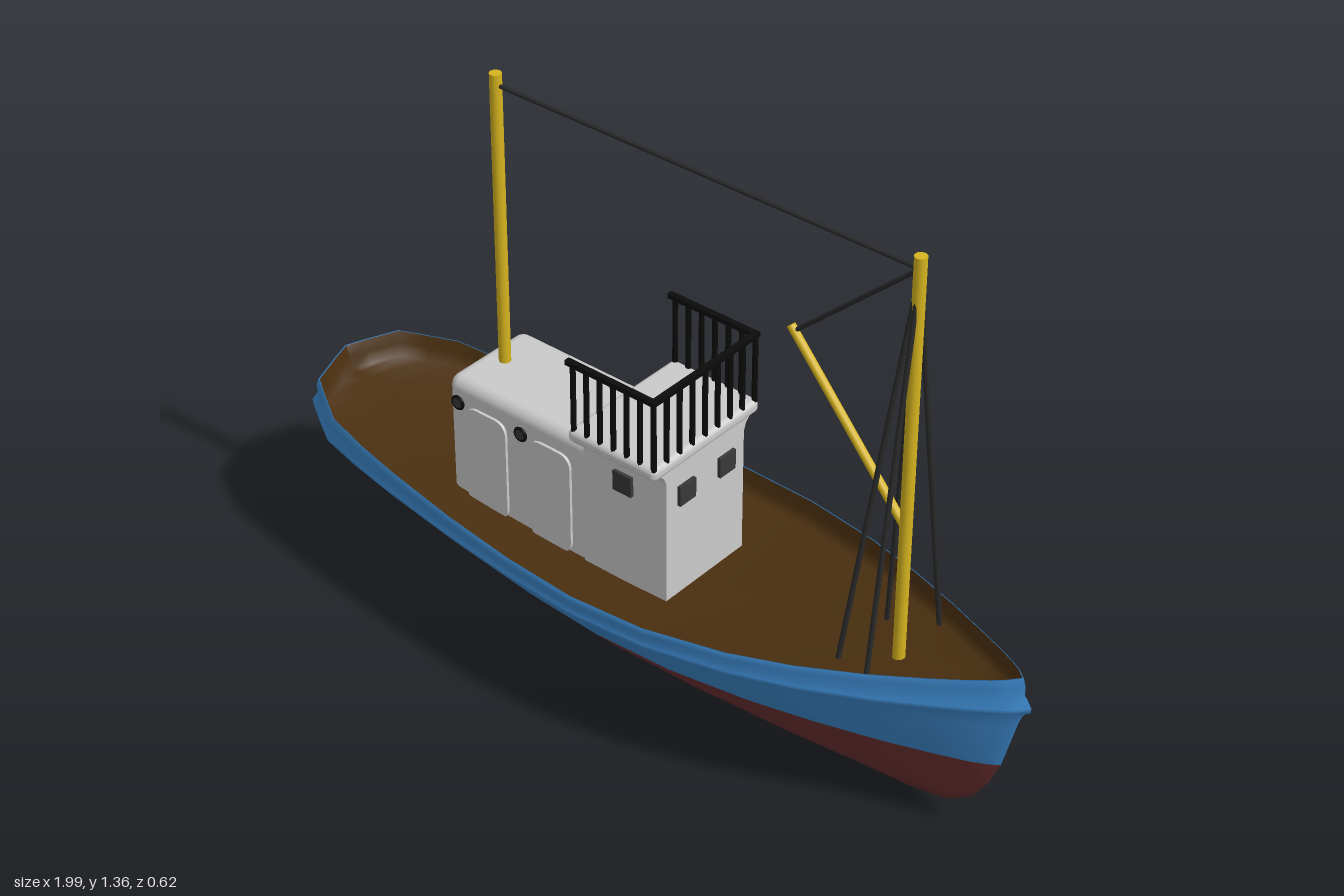
import * as THREE from 'three';
import { RoundedBoxGeometry } from 'three/addons/geometries/RoundedBoxGeometry.js';

const mat = (name, color, side = THREE.FrontSide) => {
  const m = new THREE.MeshStandardMaterial({ color, side });
  m.name = name;
  return m;
};

export function createModel() {
  const blue = mat('hullBlue', 0x3b85c8, THREE.DoubleSide);
  const red = mat('bottomRed', 0x692f2f, THREE.DoubleSide);
  const brown = mat('deckBrown', 0x4a2f10, THREE.DoubleSide);
  const white = mat('cabinGrey', 0xcacaca);
  const yellow = mat('mastYellow', 0xd6b41f);
  const rope = mat('ropeGrey', 0x2a2a2a);
  const black = mat('railBlack', 0x0b0b0b);
  const glass = mat('windowGrey', 0x383838);

  const model = new THREE.Group();
  model.name = 'fishingBoat';
  const add = (name, geo, material, x = 0, y = 0, z = 0) => {
    const m = new THREE.Mesh(geo, material);
    m.name = name;
    m.position.set(x, y, z);
    model.add(m);
    return m;
  };
  // Round bar between two points
  const bar = (name, a, b, r, material, sides = 8) => {
    const p = new THREE.Vector3(...a), q = new THREE.Vector3(...b);
    const m = add(name, new THREE.CylinderGeometry(r, r, p.distanceTo(q), sides), material);
    m.position.copy(p).add(q).multiplyScalar(0.5);
    m.quaternion.setFromUnitVectors(new THREE.Vector3(0, 1, 0), q.sub(p).normalize());
    return m;
  };

  model.add(makeHull(blue, red, brown));

  // Deckhouse
  add('deckhouse', new RoundedBoxGeometry(0.44, 0.37, 0.25, 4, 0.028), white, -0.30, 0.435, 0);

  // Wheelhouse: cross-section with flared eaves, run along x
  const half = [[0.13, 0.26], [0.13, 0.625], [0.138, 0.645], [0.155, 0.66]];
  const section = [...half, ...half.map(([z, y]) => [-z, y]).reverse()];
  const house = new THREE.ExtrudeGeometry(
    new THREE.Shape(section.map(([z, y]) => new THREE.Vector2(z, y))),
    { depth: 0.235, bevelEnabled: false });
  add('wheelhouse', house.rotateY(Math.PI / 2), white, -0.11);
  add('wheelhouseRoof', new RoundedBoxGeometry(0.246, 0.034, 0.356, 3, 0.014), white, 0.008, 0.67, 0);

  // Door plate with rounded corners
  const w = 0.06, r = 0.035, bottom = 0.3, top = 0.565;
  const door = new THREE.Shape();
  door.moveTo(-w + r, bottom);
  door.lineTo(w - r, bottom);
  door.quadraticCurveTo(w, bottom, w, bottom + r);
  door.lineTo(w, top - r);
  door.quadraticCurveTo(w, top, w - r, top);
  door.lineTo(-w + r, top);
  door.quadraticCurveTo(-w, top, -w, top - r);
  door.lineTo(-w, bottom + r);
  door.quadraticCurveTo(-w, bottom, -w + r, bottom);
  const doorGeo = new THREE.ExtrudeGeometry(door, { depth: 0.008, bevelEnabled: false });

  for (const s of [1, -1]) {
    for (const x of [-0.4, -0.21]) add('door', doorGeo, white, x, 0, s > 0 ? 0.124 : -0.132);
    for (const x of [-0.485, -0.297]) {
      const port = new THREE.CylinderGeometry(0.014, 0.014, 0.008, 16).rotateX(Math.PI / 2);
      add('portholeGlass', port, glass, x, 0.56, s * 0.127);
      add('portholeRim', new THREE.TorusGeometry(0.015, 0.004, 6, 18), black, x, 0.56, s * 0.128);
    }
    // Wheelhouse windows
    add('sideWindow', new THREE.BoxGeometry(0.052, 0.05, 0.009), glass, 0.006, 0.575, s * 0.134);
    add('frontWindow', new THREE.BoxGeometry(0.009, 0.05, 0.052), glass, 0.129, 0.575, s * 0.067);
  }

  // Railing on three sides of the wheelhouse roof
  const railY = 0.855, rz = 0.168, x0 = -0.112, x1 = 0.122;
  const post = (x, z) => bar('railPost', [x, 0.68, z], [x, railY, z], 0.0065, black, 6);
  const rail = (name, sx, sz, x, z) => add(name, new THREE.BoxGeometry(sx, 0.012, sz), black, x, railY, z);
  for (const s of [1, -1]) {
    rail('sideRail', x1 - x0 + 0.014, 0.014, (x0 + x1) / 2, s * rz);
    for (let i = 0; i < 7; i++) post(x0 + 0.01 + (x1 - x0 - 0.01) * i / 6, s * rz);
  }
  rail('frontRail', 0.014, rz * 2, x1, 0);
  for (let i = 1; i < 8; i++) post(x1, -rz + rz * i / 4);

  // Masts, boom and rigging
  const mx = 0.655;
  bar('aftMast', [-0.458, 0.4, 0], [-0.458, 1.353, 0], 0.014, yellow, 16);
  bar('foreMast', [mx, 0.34, 0], [mx, 1.355, 0], 0.014, yellow, 16);
  bar('boom', [mx, 0.695, 0], [0.345, 1.062, 0], 0.01, yellow, 12);
  bar('mastStay', [-0.458, 1.325, 0], [mx, 1.325, 0], 0.005, rope);
  bar('boomLine', [0.355, 1.052, 0], [mx, 1.325, 0], 0.005, rope);
  for (const [x, z] of [[0.657, 0.12], [0.657, -0.142], [0.558, 0.082], [0.558, -0.088]]) {
    bar('shroud', [mx, 1.315, 0], [x, 0.355, z], 0.006, rope);
  }
  return model;
}

// Hull lofted from stern to bow; each section runs deck, bulwark, rail, side, keel and back
function makeHull(blue, red, brown) {
  // rail x, rail half width, keel x, keel y
  const stations = [
    [-1.0, 0, -0.985, 0.345], [-0.985, 0.05, -0.965, 0.325], [-0.955, 0.135, -0.91, 0.275],
    [-0.9, 0.17, -0.87, 0.24], [-0.83, 0.212, -0.82, 0.208], [-0.72, 0.234, -0.71, 0.145],
    [-0.6, 0.252, -0.6, 0.095], [-0.4, 0.277, -0.4, 0.045], [-0.2, 0.297, -0.2, 0.016],
    [0, 0.309, 0, 0.003], [0.2, 0.298, 0.2, 0], [0.4, 0.259, 0.4, 0.003],
    [0.55, 0.213, 0.55, 0.01], [0.7, 0.154, 0.7, 0.022], [0.82, 0.099, 0.8, 0.042],
    [0.89, 0.065, 0.865, 0.088], [0.94, 0.038, 0.9, 0.145], [0.965, 0.022, 0.928, 0.21],
    [0.99, 0, 0.965, 0.36],
  ];
  const water = 0.21, steps = 5;

  const halfSection = ([xs, zs, kx, ky]) => {
    const sheer = 0.365 + 0.085 * (xs + 0.1) ** 2;
    const drop = 0.045 + 0.035 * xs * xs;
    const pts = [
      [xs * 0.955, sheer - 0.06, 0], [xs * 0.955, sheer - 0.06, zs * 0.92],
      [xs * 0.965, sheer - 0.03, zs * 0.965], [xs * 0.972, sheer, zs * 0.98],
      [xs * 0.976, sheer, zs * 0.99], [xs * 0.982, sheer - drop * 0.25, zs],
      [xs * 0.982, sheer - drop * 0.65, zs * 0.985], [xs, sheer - drop * 0.85, zs],
      [xs, sheer - drop, zs],
    ];
    const topY = sheer - drop - 0.012, topX = xs * 0.985;
    const split = THREE.MathUtils.clamp((water - ky) / (topY - ky), 0, 1);
    const side = (v) => pts.push([
      THREE.MathUtils.lerp(kx, topX, v), THREE.MathUtils.lerp(ky, topY, v),
      zs * 0.97 * Math.pow(v, 0.78)]);
    for (let i = 0; i <= steps; i++) side(1 - (1 - split) * i / steps);
    for (let i = 1; i <= steps; i++) side(split * (1 - i / steps));
    return pts;
  };

  const positions = [];
  let n = 0;
  for (const s of stations) {
    const h = halfSection(s);
    const ring = [...h, ...h.slice(0, -1).reverse().map(([x, y, z]) => [x, y, -z])];
    n = ring.length;
    positions.push(...ring.flat());
  }
  // Strips sorted by colour: deck and inner bulwark, topsides, bottom
  const index = [];
  const geo = new THREE.BufferGeometry();
  const colourOf = (j) => {
    const k = Math.min(j, n - 2 - j);
    return k < 3 ? 0 : k < 8 + 1 + steps ? 1 : 2;
  };
  for (let c = 0; c < 3; c++) {
    const start = index.length;
    for (let j = 0; j < n - 1; j++) {
      if (colourOf(j) !== c) continue;
      for (let i = 0; i < stations.length - 1; i++) {
        const a = i * n + j, b = a + 1, d = a + n, e = d + 1;
        index.push(a, b, d, b, e, d);
      }
    }
    geo.addGroup(start, index.length - start, c);
  }
  geo.setAttribute('position', new THREE.Float32BufferAttribute(positions, 3));
  geo.setIndex(index);
  geo.computeVertexNormals();
  const hull = new THREE.Mesh(geo, [brown, blue, red]);
  hull.name = 'hull';
  return hull;
}
